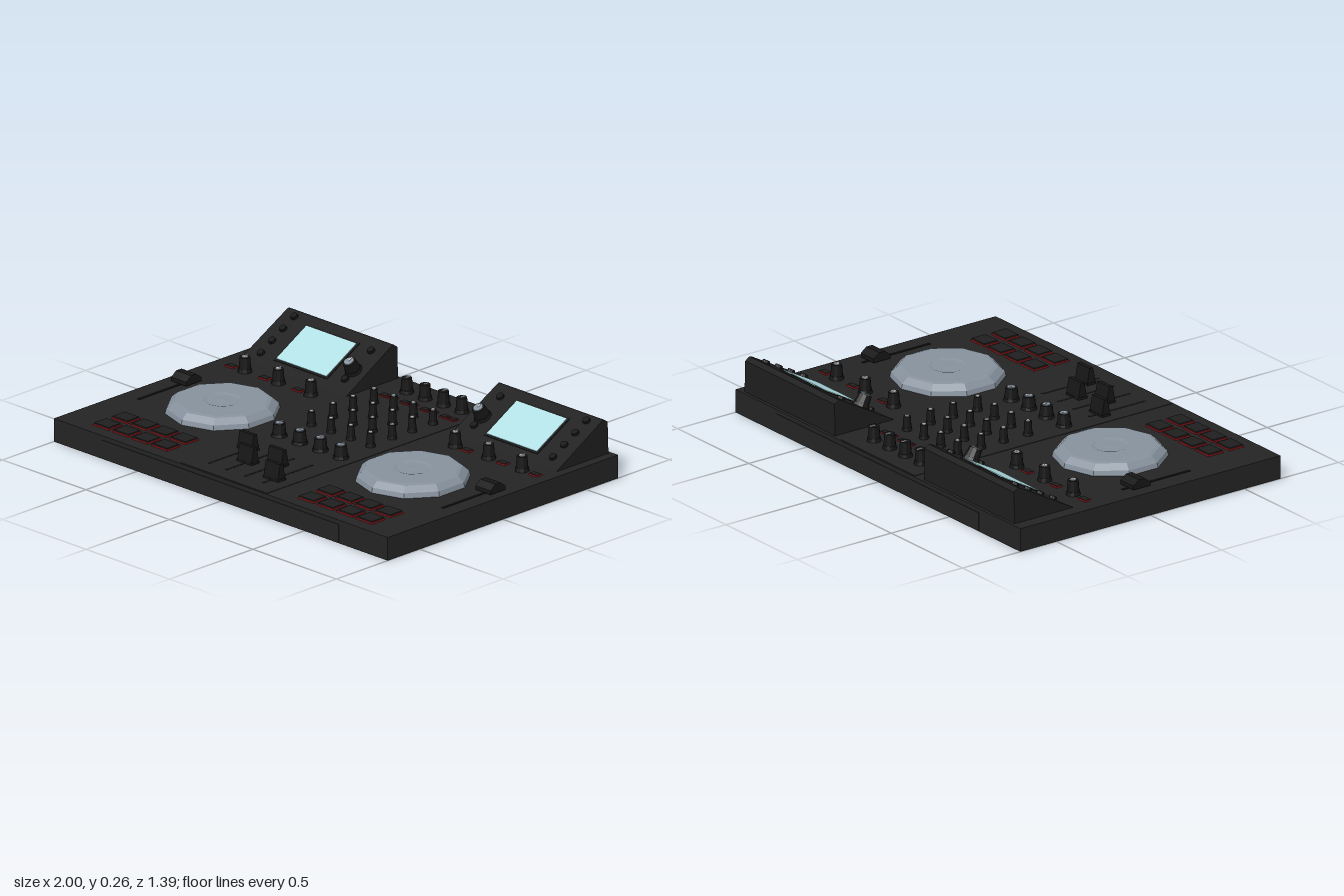
import * as THREE from 'three';

const mat = (name, color) => {
  const m = new THREE.MeshStandardMaterial({ color });
  m.name = name;
  m.flatShading = true;
  return m;
};

export function createModel() {
  const root = new THREE.Group();
  root.name = 'mixingConsole';
  const body = mat('charcoal body', 0x242424);
  const panel = mat('panel black', 0x1e1e1e);
  const rubber = mat('knob black', 0x161616);
  const silver = mat('wheel grey', 0x86919d);
  const glass = mat('screen blue', 0xb0dfe4);
  const red = mat('red glow', 0x9c1a1e);
  const white = mat('marker white', 0xd4d8dc);
  const TOP = 0.105;

  const add = (parent, name, geo, material, x = 0, y = 0, z = 0) => {
    const m = new THREE.Mesh(geo, material);
    m.name = name;
    m.position.set(x, y, z);
    parent.add(m);
    return m;
  };
  const box = (parent, name, w, h, d, material, x, y, z) =>
    add(parent, name, new THREE.BoxGeometry(w, h, d), material, x, y + h / 2, z);
  // Side profile given as [z, y] points, extruded along x
  const extrudeX = (points, width) => {
    const s = new THREE.Shape(points.map(([z, y]) => new THREE.Vector2(-z, y)));
    const g = new THREE.ExtrudeGeometry(s, { depth: width, bevelEnabled: false });
    return g.translate(0, 0, -width / 2).rotateY(Math.PI / 2);
  };

  // Chassis with slim front and back strips and a mixer plate
  box(root, 'chassis', 2, TOP, 1.384, body, 0, 0, 0);
  for (const s of [-1, 1]) box(root, 'edgeStrip', 1.42, 0.08, 0.006, body, 0, 0.006, s * 0.692);
  box(root, 'mixerPlate', 0.52, 0.002, 1.37, body, 0.01, TOP, 0);

  // Rotary knob: skirt, tapered grip, pale cap or pointer line
  const knob = (parent, x, y, z, r, h, style) => {
    const g = new THREE.Group();
    g.name = 'knob';
    g.position.set(x, y, z);
    parent.add(g);
    add(g, 'knobSkirt', new THREE.CylinderGeometry(r * 0.9, r, h * 0.25, 12), rubber, 0, h * 0.125, 0);
    add(g, 'knobGrip', new THREE.CylinderGeometry(r * 0.72, r * 0.85, h * 0.8, 12), rubber, 0, h * 0.6, 0);
    if (style === 'line') box(g, 'knobPointer', 0.007, 0.003, r * 0.8, white, 0, h, -r * 0.25);
    else add(g, 'knobCap', new THREE.CylinderGeometry(r * style, r * style, 0.004, 10),
      style > 0.45 ? silver : white, 0, h + 0.002, 0);
    if (style !== 'line' && r > 0.025) box(g, 'knobPointer', 0.006, 0.002, r * 0.6, white, 0, h + 0.004, -r * 0.3);
  };
  // Button with a thin glowing rim
  const button = (name, x, z, w, d, h, rim = 0.008) => {
    box(root, name + 'Rim', w + rim, 0.006, d + rim, red, x, TOP, z);
    box(root, name, w, h, d, panel, x, TOP, z);
  };

  // Mixer section knobs
  for (let i = 0; i < 4; i++) {
    knob(root, -0.155 + i * 0.11, TOP, -0.58, 0.032, 0.07, 'line');
    for (const s of [-1, 1]) button('cueButton', -0.17 + i * 0.12 + s * 0.024, -0.487, 0.034, 0.026, 0.009, 0.006);
    for (const z of [-0.395, -0.27, -0.15, -0.02]) knob(root, -0.167 + i * 0.118, TOP, z, 0.022, 0.066, 0.4);
    knob(root, -0.175 + i * 0.123, TOP, 0.165, 0.036, 0.06, 0.5);
  }

  // Channel faders: slot and wedge-shaped cap
  const capShape = [[-0.023, 0], [0.023, 0], [0.009, 0.072], [-0.009, 0.072]];
  [[-0.157, 0.37], [-0.05, 0.478], [0.06, 0.41], [0.17, 0.54]].forEach(([x, z]) => {
    box(root, 'faderSlot', 0.012, 0.003, 0.3, rubber, x, TOP, 0.46);
    add(root, 'faderFoot', new THREE.BoxGeometry(0.09, 0.012, 0.046), rubber, x, TOP + 0.006, z);
    add(root, 'faderCap', extrudeX(capShape, 0.086), rubber, x, TOP + 0.006, z);
  });

  // Jog wheel: ten-sided with a shallow dished centre
  const wheelProfile = [[0.2475, 0], [0.242, 0.022], [0.215, 0.046], [0.2, 0.05], [0.085, 0.05],
    [0.07, 0.046], [0.035, 0.046], [0.0001, 0.048]].map(([r, y]) => new THREE.Vector2(r, y));
  const wheelGeo = new THREE.LatheGeometry(wheelProfile, 10);

  // Tilted display housing
  const slope = [[-0.365, TOP], [-0.645, 0.26]];
  const tilt = Math.atan2(slope[1][1] - slope[0][1], slope[0][0] - slope[1][0]);
  const housingProfile = [slope[0], slope[1], [-0.655, 0.262], [-0.677, 0.247], [-0.677, TOP]];

  const buildDeck = (side, d) => {
    const wheel = add(root, 'jogWheel', wheelGeo, silver, d.wheel, TOP, 0.118);
    wheel.material.side = THREE.DoubleSide;

    const housing = extrudeX(housingProfile, 0.636);
    // Pull the upper corners in a little
    const p = housing.attributes.position;
    for (let i = 0; i < p.count; i++) if (p.getY(i) > 0.2) p.setX(i, p.getX(i) * 0.985);
    housing.computeVertexNormals();
    add(root, 'displayHousing', housing, panel, d.housing, 0, 0);

    // Items lying on the slope; x is measured from the housing centre
    const onSlope = (x, z) => {
      const g = new THREE.Group();
      g.name = 'slopeMount';
      g.position.set(d.housing + side * x, TOP + (slope[0][0] - z) * Math.tan(tilt), z);
      g.rotation.x = tilt;
      root.add(g);
      return g;
    };
    const screen = onSlope(0, -0.508);
    box(screen, 'screenBezel', 0.32, 0.003, 0.225, rubber, 0, 0, 0);
    box(screen, 'screen', 0.3, 0.006, 0.206, glass, 0, 0, 0);
    knob(onSlope(-0.243, -0.485), 0, 0, 0, 0.04, 0.055, 0.55);
    const dots = [-0.62, -0.553, -0.487, -0.42].map(z => [0.245, z]).concat([[-0.243, -0.592], [-0.243, -0.435]]);
    for (const [x, z] of dots)
      add(onSlope(x, z), 'menuButton', new THREE.CylinderGeometry(0.016, 0.018, 0.014, 10), rubber, 0, 0.005, 0);

    // Effect knobs and buttons in front of the display
    for (const x of d.knobs) knob(root, x, TOP, -0.275, 0.032, 0.067, 0.4);
    for (const x of d.buttons) button('effectButton', x, -0.275, 0.045, 0.028, 0.008, 0.005);

    // Performance pads
    for (let i = 0; i < 4; i++)
      for (const z of [0.48, 0.59]) button('pad', d.pads + i * 0.1165, z, 0.086, 0.072, 0.012);

    // Tempo slider
    box(root, 'tempoSlot', 0.012, 0.003, 0.36, rubber, d.tempo, TOP, 0.1);
    const handle = [[-0.045, 0.006], [0.045, 0.006], [0.045, 0.024], [0.016, 0.046], [-0.016, 0.046], [-0.045, 0.024]];
    add(root, 'tempoHandle', extrudeX(handle, 0.09), rubber, d.tempo, TOP, -0.008);
  };
  buildDeck(-1, { wheel: -0.562, housing: -0.622, knobs: [-0.82, -0.62, -0.425],
    buttons: [-0.9, -0.7, -0.5], pads: -0.78, tempo: -0.905 });
  buildDeck(1, { wheel: 0.578, housing: 0.638, knobs: [0.44, 0.64, 0.84],
    buttons: [0.51, 0.725, 0.92], pads: 0.447, tempo: 0.918 });

  return root;
}
